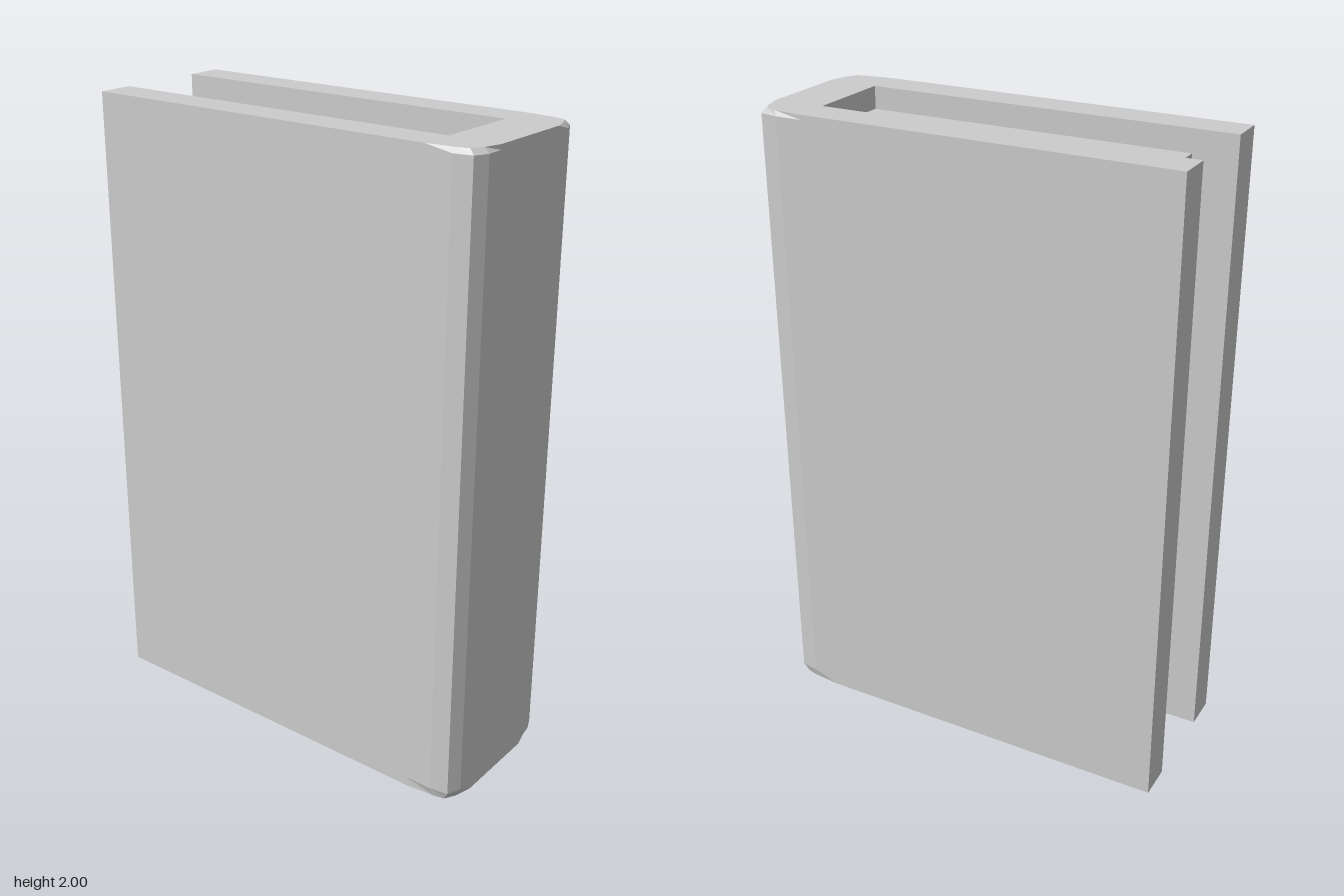
import * as THREE from 'three';
import { toCreasedNormals } from 'three/addons/utils/BufferGeometryUtils.js';

// Rounded spine corner [x, z]: along the body, and cut back at the two ends
const BODY = [[0.253, 0.505], [0.253, 0.59], [0.243, 0.648], [0.2, 0.667], [0.145, 0.667]];
const END = [[0.253, 0.505], [0.243, 0.6], [0.235, 0.632], [0.2, 0.652], [0.145, 0.667]];
const LEVELS = [0, 0.03, 1.985, 2];
const INNER_X = 0.14, INNER_Z = 0.505, BACK_Z = -0.67;

// U-shaped cover: two boards joined by a spine
function coverGeometry() {
  const mirrored = [...BODY].reverse().map(([x, z]) => [-x, z]);
  const outline = [
    [0.253, BACK_Z], ...BODY, ...mirrored, [-0.253, BACK_Z],
    [-INNER_X, BACK_Z], [-INNER_X, INNER_Z], [INNER_X, INNER_Z], [INNER_X, BACK_Z],
  ];
  const shape = new THREE.Shape(outline.map(([x, z]) => new THREE.Vector2(x, -z)));
  const geo = new THREE.ExtrudeGeometry(shape, { depth: 3, steps: 3, bevelEnabled: false });
  geo.rotateX(-Math.PI / 2);

  // set the layer heights and chip the spine corners at top and bottom
  const pos = geo.attributes.position;
  for (let i = 0; i < pos.count; i++) {
    const x = pos.getX(i), z = pos.getZ(i), level = Math.round(pos.getY(i));
    pos.setY(i, LEVELS[level]);
    if (level === 1 || level === 2) continue;
    const k = BODY.findIndex(([bx, bz]) => Math.hypot(Math.abs(x) - bx, z - bz) < 1e-4);
    if (k >= 0) {
      pos.setX(i, Math.sign(x) * END[k][0]);
      pos.setZ(i, END[k][1]);
    }
  }
  return toCreasedNormals(geo, 0.1);
}

export function createModel() {
  const group = new THREE.Group();
  group.name = 'book';
  const material = new THREE.MeshStandardMaterial({ color: 0xcccccc });

  const cover = new THREE.Mesh(coverGeometry(), material);
  cover.name = 'cover';

  // page block, recessed from the cover at top, bottom and back
  const bottom = 0.105, top = 1.93, back = -0.535;
  const pages = new THREE.Mesh(new THREE.BoxGeometry(0.276, top - bottom, INNER_Z - back), material);
  pages.name = 'pages';
  pages.position.set(0, (top + bottom) / 2, (INNER_Z + back) / 2);

  group.add(cover, pages);
  return group;
}
